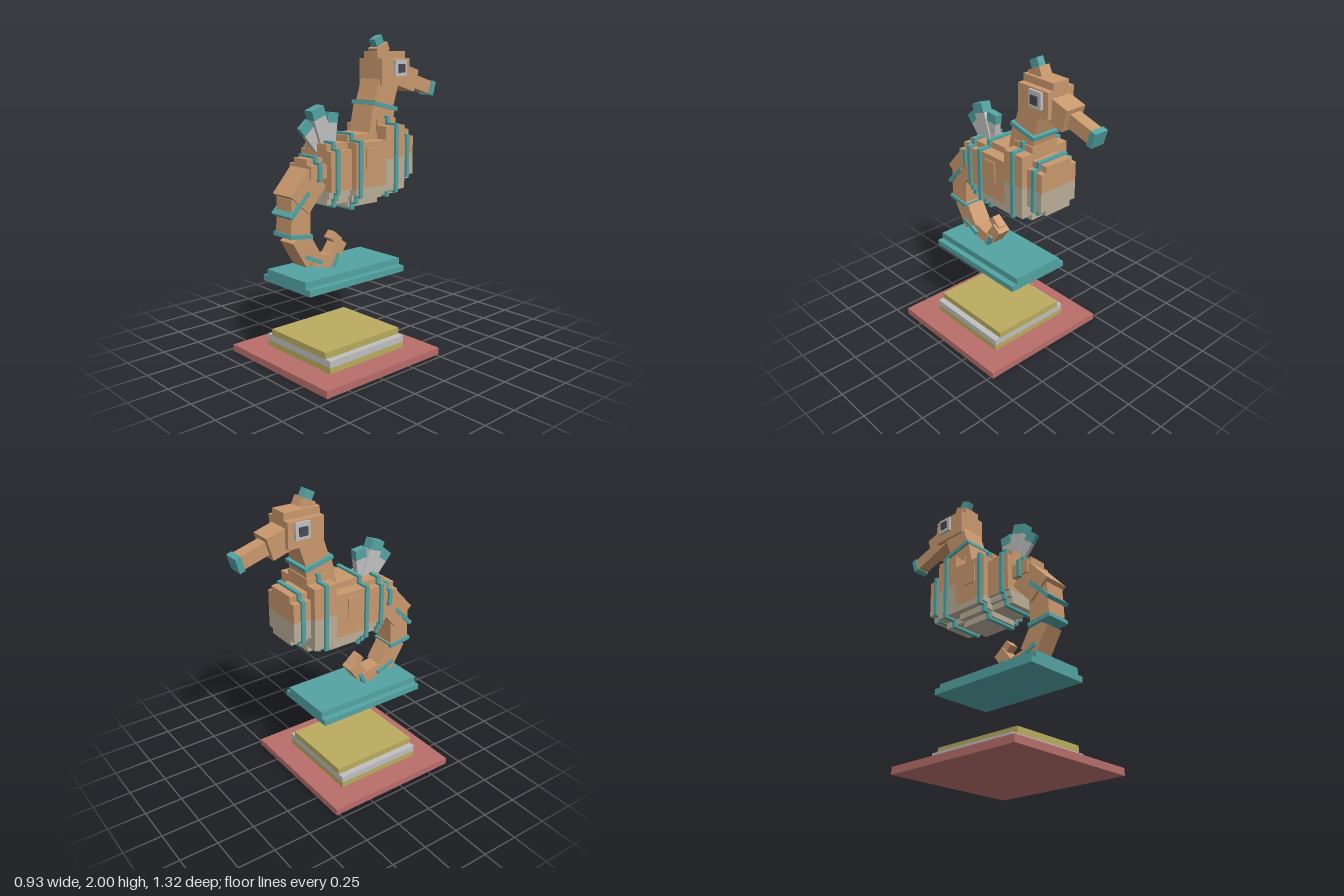
import * as THREE from 'three';

const mat = (name, color) => {
  const m = new THREE.MeshStandardMaterial({ color });
  m.name = name;
  return m;
};

export function createModel() {
  const tan = mat('tan', 0xc9986d), teal = mat('teal', 0x53a3a3), cream = mat('cream', 0xbaae98);
  const grey = mat('grey', 0xbfbfbf), yellow = mat('yellow', 0xbaab5e), red = mat('red', 0xb86e6a);
  const dark = mat('dark', 0x4a4852);
  const model = new THREE.Group();

  // Box given by its limits on each axis
  function block(name, m, x0, x1, y0, y1, z0, z1, parent = model) {
    const mesh = new THREE.Mesh(new THREE.BoxGeometry(x1 - x0, y1 - y0, z1 - z0), m);
    mesh.position.set((x0 + x1) / 2, (y0 + y1) / 2, (z0 + z1) / 2);
    mesh.name = name;
    parent.add(mesh);
    return mesh;
  }
  const slab = (name, m, w, y0, y1, z0, z1, parent) => block(name, m, -w, w, y0, y1, z0, z1, parent);

  // Tilted box running between two [z, y] points; w is the half width in x
  function beam(name, m, a, b, thick, w) {
    const dz = b[0] - a[0], dy = b[1] - a[1];
    const mesh = new THREE.Mesh(new THREE.BoxGeometry(w * 2, thick, Math.hypot(dz, dy)), m);
    mesh.position.set(0, (a[1] + b[1]) / 2, (a[0] + b[0]) / 2);
    mesh.rotation.x = -Math.atan2(dy, dz);
    mesh.name = name;
    model.add(mesh);
  }
  // Thin band around a limb: centre, direction across the limb, length across
  function band(name, [z, y], [dz, dy], len, w, thick = 0.025) {
    const k = len / 2 / Math.hypot(dz, dy);
    beam(name, teal, [z - dz * k, y - dy * k], [z + dz * k, y + dy * k], thick, w);
  }

  // Stacked plinths
  slab('basePlate', red, 0.465, 0, 0.045, -0.27, 0.66);
  slab('plinthBottom', yellow, 0.305, 0.045, 0.082, -0.11, 0.5);
  slab('plinthMiddle', grey, 0.305, 0.082, 0.124, -0.11, 0.5);
  slab('plinthTop', yellow, 0.262, 0.124, 0.165, -0.11, 0.5);
  slab('standLower', teal, 0.225, 0.515, 0.553, -0.19, 0.58);
  slab('standUpper', teal, 0.185, 0.553, 0.595, -0.19, 0.58);

  // Body segments with stepped corners: z0, z1, y0, y1, colour split, steps [half width, top inset, bottom inset], ring z
  const segments = [
    [0.34, 0.46, 1.13, 1.285, 0, [[0.1, 0.035, 0.035], [0.06, 0, 0]], 0.398],
    [0.175, 0.34, 1.0, 1.365, 1.085, [[0.14, 0.04, 0.08], [0.12, 0.04, 0.04], [0.1, 0, 0]], 0.295],
    [-0.07, 0.175, 0.965, 1.405, 1.085, [[0.18, 0.04, 0.08], [0.14, 0.04, 0.04], [0.1, 0, 0]], 0.148],
    [-0.23, -0.07, 1.005, 1.487, 1.245, [[0.18, 0.04, 0.04], [0.1, 0, 0]], -0.152],
    [-0.35, -0.23, 1.085, 1.405, 1.245, [[0.14, 0.04, 0.035], [0.1, 0, 0]], -0.29],
  ];
  for (const [z0, z1, y0, y1, split, steps, ringZ] of segments) {
    const g = new THREE.Group();
    g.name = 'bodySegment';
    model.add(g);
    for (const [w, top, bottom] of steps) {
      slab('bodyUpper', tan, w, split || y0 + bottom, y1 - top, z0, z1, g);
      if (split) slab('belly', cream, w, y0 + bottom, split, z0, z1, g);
      slab('bodyRing', teal, w + 0.015, y0 + bottom - 0.015, y1 - top + 0.015, ringZ - 0.0125, ringZ + 0.0125, g);
    }
  }

  // Neck, head and snout
  beam('neckLower', tan, [-0.1, 1.36], [-0.14, 1.56], 0.19, 0.09);
  band('neckRing', [-0.143, 1.563], [-38, -9], 0.205, 0.105);
  beam('neckUpper', tan, [-0.143, 1.573], [-0.195, 1.73], 0.165, 0.085);
  slab('head', tan, 0.1, 1.69, 1.853, -0.35, -0.108);
  slab('headTop', tan, 0.06, 1.853, 1.897, -0.35, -0.108);
  beam('snoutBase', tan, [-0.275, 1.76], [-0.45, 1.706], 0.143, 0.07);
  beam('snout', tan, [-0.43, 1.712], [-0.615, 1.657], 0.085, 0.04);
  beam('snoutTip', teal, [-0.612, 1.657], [-0.648, 1.646], 0.095, 0.05);
  beam('crest', tan, [-0.19, 1.885], [-0.167, 1.935], 0.1, 0.04);
  beam('crestTip', teal, [-0.17, 1.935], [-0.146, 1.982], 0.066, 0.025);

  // Eyes and side panels on both sides
  for (const s of [-1, 1]) {
    const side = (name, m, x, t, y0, y1, z0, z1) =>
      block(name, m, s * x - t / 2, s * x + t / 2, y0, y1, z0, z1);
    side('eyeWhite', grey, 0.108, 0.02, 1.743, 1.845, -0.31, -0.21);
    side('pupil', dark, 0.122, 0.012, 1.765, 1.818, -0.287, -0.233);
    side('sidePanel', tan, 0.184, 0.009, 1.2, 1.33, 0.01, 0.1);
  }

  // Fan of back fins with coloured tips: tip, base, thickness, half width
  const fins = [
    [[0.44, 1.484], [0.307, 1.33], 0.082, 0.014],
    [[0.352, 1.574], [0.275, 1.357], 0.095, 0.035],
    [[0.22, 1.542], [0.243, 1.362], 0.08, 0.025],
  ];
  for (const [tip, base, t, w] of fins) {
    const f = 0.062 / Math.hypot(base[0] - tip[0], base[1] - tip[1]);
    const mid = tip.map((v, i) => v + (base[i] - v) * f);
    beam('finTip', teal, tip, mid, t, w);
    beam('fin', grey, mid, base, t, w * 0.9);
  }

  // Curled tail with rings at the joints
  beam('tail1', tan, [0.4, 1.175], [0.533, 1.025], 0.175, 0.087);
  band('tailRing1', [0.535, 1.025], [24, -25], 0.19, 0.093);
  beam('tail2', tan, [0.512, 1.06], [0.52, 0.835], 0.143, 0.072);
  band('tailRing2', [0.52, 0.835], [31, 4], 0.165, 0.085);
  beam('tail3', tan, [0.515, 0.83], [0.418, 0.67], 0.128, 0.064);
  band('tailRing3', [0.416, 0.673], [23, 11], 0.14, 0.072);
  beam('tail4', tan, [0.405, 0.667], [0.24, 0.625], 0.08, 0.052);
  band('tailRing4', [0.236, 0.632], [8, -14], 0.09, 0.06);
  beam('tail5', tan, [0.24, 0.645], [0.168, 0.745], 0.078, 0.045);
  beam('tailTip', tan, [0.175, 0.735], [0.24, 0.792], 0.053, 0.03);

  return model;
}
